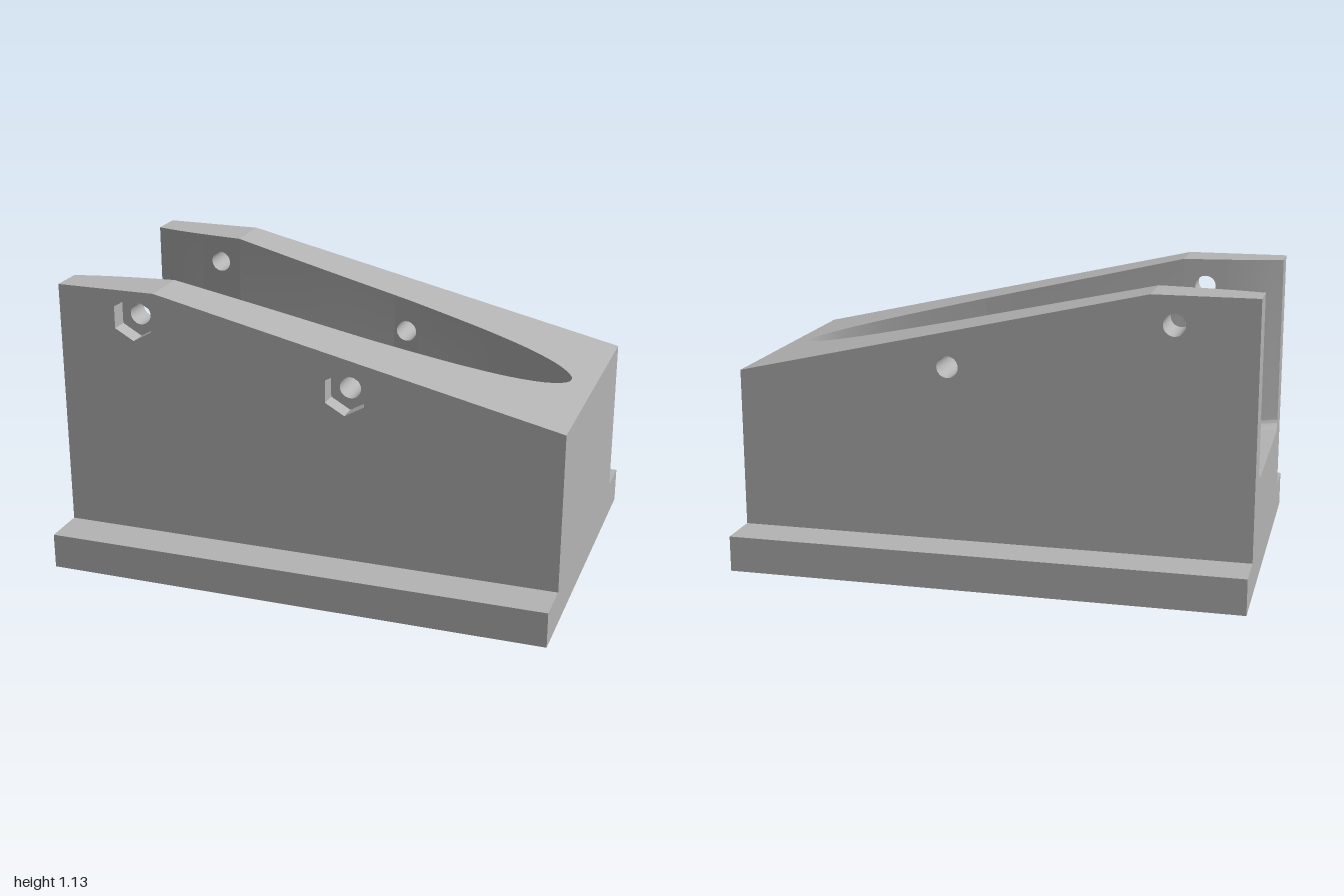
import * as THREE from 'three';
import { toCreasedNormals } from 'three/addons/utils/BufferGeometryUtils.js';

const HALF = 0.52, BASE_H = 0.14, FILLET = 0.05, BORE = 0.042, HEX = 0.088, HEX_DEPTH = 0.07;
const HOLES = [{ x: -0.69, y: 1.02, seg: 2 }, { x: 0.165, y: 0.82, seg: 5 }];

// Height of the sloped top and of the pocket floor along x
const topY = (x) => (x < -0.6 ? 1.13 : 1.13 - (x + 0.6) * 0.2281);
const FLOOR = [[-1, 0.42], [0.22, 0.385], [0.55, 0.27], [1, 0.23]];
function floorY(x) {
  let i = 0;
  while (i < 2 && x > FLOOR[i + 1][0]) i++;
  const [a, b] = [FLOOR[i], FLOOR[i + 1]];
  return THREE.MathUtils.mapLinear(x, a[0], b[0], a[1], b[1]);
}

// Half outline of the pocket in plan (x, half width), mirrored past the tip
const OUTLINE = [[-1, 0.39], [-0.9, 0.366], [-0.78, 0.346], [-0.6, 0.325], [-0.25, 0.295], [0.11, 0.27],
  [0.22, 0.26], [0.4, 0.236], [0.55, 0.21], [0.7, 0.171], [0.82, 0.117], [0.89, 0.055], [0.91, 0], [0.89, -0.055]];
const curve = new THREE.SplineCurve(OUTLINE.map((p) => new THREE.Vector2(...p)));
const SUB = 6, ROWS = (OUTLINE.length - 2) * SUB;
const rows = [];
for (let i = 0; i <= ROWS; i++) {
  const t = i / ((OUTLINE.length - 1) * SUB);
  const p = curve.getPoint(t), d = curve.getTangent(t);
  rows.push({ x: p.x, w: Math.max(0, p.y), nx: i ? d.y : 0, nw: i ? -d.x : -1 });
}

// One side of the pocket section: top edge, then round the fillet to the floor
const STEPS = 6;
function halfSection(r) {
  const pts = [[r.x, topY(r.x), r.w]];
  for (let k = 0; k <= STEPS; k++) {
    const a = (k / STEPS) * Math.PI / 2, inset = FILLET * (1 - Math.cos(a));
    const x = r.x + r.nx * inset;
    pts.push([x, floorY(x) + FILLET * (1 - Math.sin(a)), Math.max(0, r.w + r.nw * inset)]);
  }
  return pts;
}
const fullSection = (r) => {
  const h = halfSection(r);
  return [...h, ...h.slice().reverse().map(([x, y, z]) => [x, y, -z])];
};

// Skin through equal-length cross-sections
function loft(sections, skip = () => false) {
  const n = sections[0].length, index = [];
  for (let i = 0; i < sections.length - 1; i++) {
    for (let j = 0; j < n - 1; j++) {
      if (skip(i, j, n)) continue;
      const a = i * n + j, b = a + n;
      index.push(a, a + 1, b, b, a + 1, b + 1);
    }
  }
  const g = new THREE.BufferGeometry();
  g.setAttribute('position', new THREE.Float32BufferAttribute(sections.flat(2), 3));
  g.setIndex(index);
  return toCreasedNormals(g, 0.15);
}

const circle = (x, y) => new THREE.Path().absarc(x, y, BORE, 0, Math.PI * 2, true);
function hexPoints(x, y) {
  const pts = [];
  for (let i = 0; i < 6; i++) {
    const a = (i / 6) * Math.PI * 2;
    pts.push(new THREE.Vector2(x + HEX * Math.sin(a), y + HEX * Math.cos(a)));
  }
  return pts;
}
const polygon = (pts) => new THREE.Shape(pts.map(([x, y]) => new THREE.Vector2(x, y)));
const shapeGeo = (s) => new THREE.ShapeGeometry(s, 32);

export function createModel() {
  const group = new THREE.Group();
  const grey = new THREE.MeshStandardMaterial({ color: 0xb4b4b4, side: THREE.DoubleSide });
  grey.name = 'plain grey';
  const add = (name, geo) => {
    const m = new THREE.Mesh(geo, grey);
    m.name = name;
    group.add(m);
    return m;
  };

  // Flanged base plate
  add('basePlate', new THREE.BoxGeometry(2, BASE_H, 1.38)).position.y = BASE_H / 2;

  // Long outer sides: hexagonal recesses in front, round bores behind
  for (const s of [1, -1]) {
    const side = polygon([[-1, BASE_H], [1, BASE_H], [1, topY(1)], [-0.6, 1.13], [-1, 1.13]]);
    for (const h of HOLES) side.holes.push(s > 0 ? new THREE.Path(hexPoints(h.x, h.y)) : circle(h.x, h.y));
    add(s > 0 ? 'frontSide' : 'backSide', shapeGeo(side)).position.z = s * HALF;
    if (s < 0) {
      // Turn the back sheet outward
      const g = group.children.at(-1).geometry, ix = g.index.array;
      for (let i = 0; i < ix.length; i += 3) [ix[i], ix[i + 1]] = [ix[i + 1], ix[i]];
      g.computeVertexNormals();
    }
  }

  // Closed low end
  const low = add('closedEnd', new THREE.PlaneGeometry(HALF * 2, topY(1) - BASE_H));
  low.rotation.y = Math.PI / 2;
  low.position.set(1, (topY(1) + BASE_H) / 2, 0);

  // Open high end with the pocket cut out
  const cut = fullSection(rows[0]).map(([, y, z]) => [z, y]);
  const end = add('openEnd', shapeGeo(polygon([[-HALF, BASE_H], [HALF, BASE_H], [HALF, 1.13], ...cut, [-HALF, 1.13]])));
  end.rotation.y = -Math.PI / 2;
  end.position.x = -1;

  // Top rims on either side of the pocket
  for (const s of [1, -1]) {
    const strip = [...rows, { x: 1, w: 0 }].map(({ x, w }) => {
      const y = topY(x), pair = [[x, y, s * w], [x, y, s * HALF]];
      return s > 0 ? pair : pair.reverse();
    });
    add(s > 0 ? 'frontRim' : 'backRim', loft(strip));
  }

  // Pocket lining, leaving gaps in the walls for the bored panels
  const boredSegs = HOLES.map((h) => h.seg);
  add('pocket', loft(rows.map(fullSection), (i, j, n) =>
    (j === 0 || j === n - 2) && boredSegs.includes(Math.floor(i / SUB))));

  for (const h of HOLES) {
    const [x0, w0] = OUTLINE[h.seg], [x1, w1] = OUTLINE[h.seg + 1];
    const wallZ = (x) => THREE.MathUtils.mapLinear(x, x0, x1, w0, w1);
    for (const s of [1, -1]) {
      // Wall panel around the bore
      const panel = polygon([[x0, floorY(x0) + FILLET], [x1, floorY(x1) + FILLET], [x1, topY(x1)], [x0, topY(x0)]]);
      panel.holes.push(circle(h.x, h.y));
      const g = shapeGeo(panel), p = g.attributes.position;
      for (let i = 0; i < p.count; i++) p.setZ(i, s * wallZ(p.getX(i)));
      g.computeVertexNormals();
      add('boredWallPanel', g);

      // Bore through the wall
      const inner = wallZ(h.x), outer = s > 0 ? HALF - HEX_DEPTH : HALF;
      const tube = new THREE.CylinderGeometry(BORE, BORE, outer - inner, 32, 1, true).rotateX(Math.PI / 2);
      add('bore', tube).position.set(h.x, h.y, s * (outer + inner) / 2);
    }

    // Hexagonal nut recess
    const recess = new THREE.CylinderGeometry(HEX, HEX, HEX_DEPTH, 6, 1, true).rotateX(Math.PI / 2);
    add('nutRecess', toCreasedNormals(recess, 0.3)).position.set(h.x, h.y, HALF - HEX_DEPTH / 2);
    const seat = new THREE.Shape(hexPoints(h.x, h.y));
    seat.holes.push(circle(h.x, h.y));
    add('nutSeat', shapeGeo(seat)).position.z = HALF - HEX_DEPTH;
  }

  // Small tapered pegs along the pocket floor, leaning toward the closed end
  for (const x of [-0.765, -0.425, -0.085, 0.13, 0.385]) {
    const peg = new THREE.CylinderGeometry(0.012, 0.026, 0.2, 16).translate(0, 0.09, 0);
    const m = add('peg', peg);
    m.position.set(x, floorY(x), 0);
    m.rotation.z = -0.15;
  }
  return group;
}
